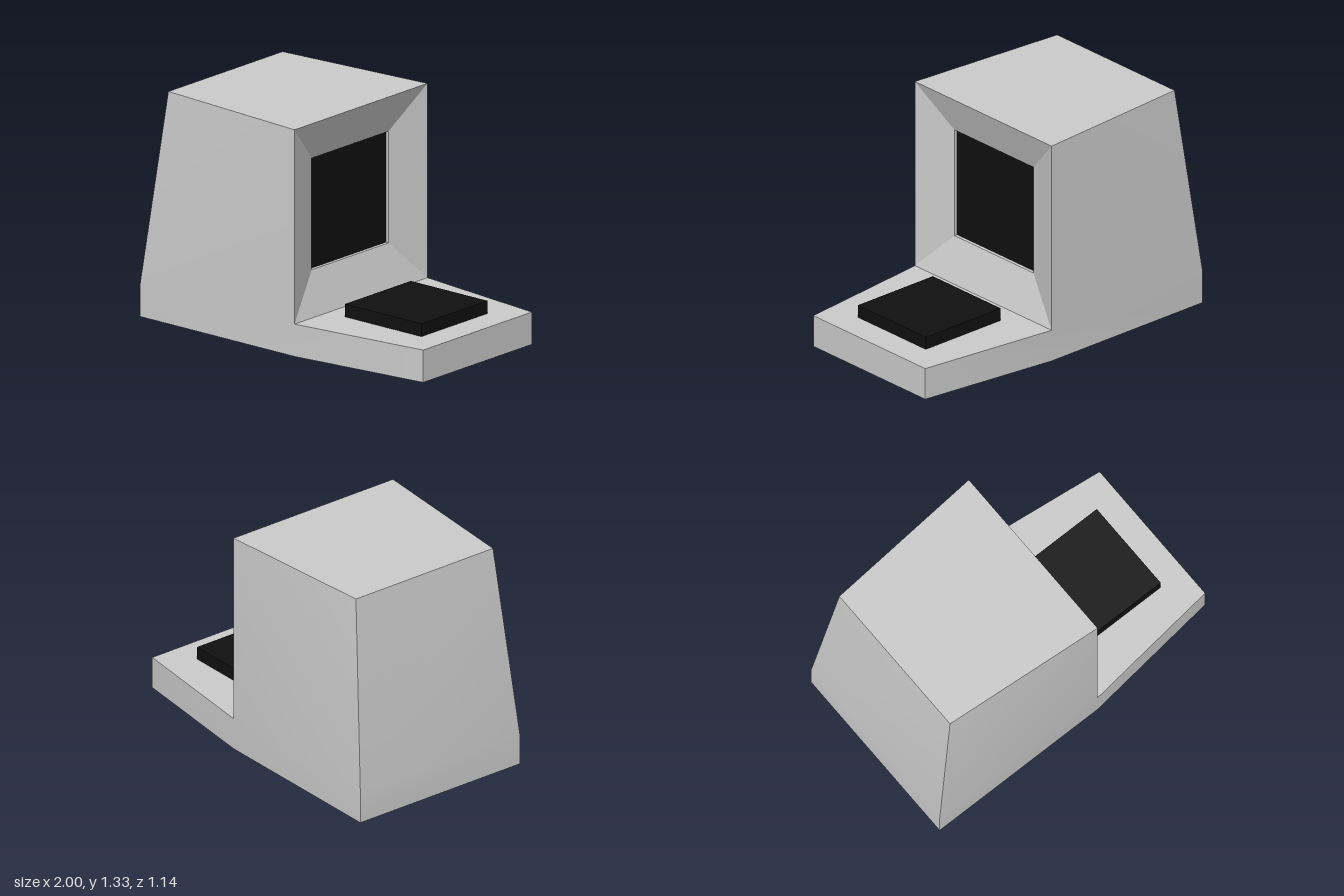
import * as THREE from 'three';
import { toCreasedNormals } from 'three/addons/utils/BufferGeometryUtils.js';

// Geometry from four-cornered faces, corners counter-clockwise from outside
function fromQuads(quads) {
  const pos = [];
  for (const [a, b, c, d] of quads) pos.push(...a, ...b, ...c, ...a, ...c, ...d);
  const g = new THREE.BufferGeometry();
  g.setAttribute('position', new THREE.Float32BufferAttribute(pos, 3));
  return toCreasedNormals(g, THREE.MathUtils.degToRad(20));
}

export function createModel() {
  const model = new THREE.Group();
  model.name = 'desktopTerminal';
  const grey = new THREE.MeshStandardMaterial({ color: 0xcccccc });
  const black = new THREE.MeshStandardMaterial({ color: 0x101010 });

  const add = (name, geometry, material, x = 0, y = 0, z = 0) => {
    const mesh = new THREE.Mesh(geometry, material);
    mesh.name = name;
    mesh.position.set(x, y, z);
    model.add(mesh);
  };

  // Casing outline seen from the front: x, y and half the depth there
  const P = {
    backFoot: [-1, 0, 0.57], midFoot: [0.14, 0, 0.57], tipFoot: [1, 0, 0.467],
    tipDeck: [1, 0.19, 0.467], midDeck: [0.14, 0.19, 0.57],
    frameLow: [0.06, 0.435, 0.33], glassLow: [0.04, 0.435, 0.33],
    glassHigh: [0.04, 1.09, 0.33], frameHigh: [0.06, 1.09, 0.33],
    roofFront: [0.14, 1.33, 0.57], roofBack: [-0.86, 1.33, 0.49],
    backDeck: [-1, 0.19, 0.57],
  };
  const flip = ([x, y, z]) => [x, y, -z];
  const quads = [];

  // Faces spanning the full depth: underside, tip, deck, bezel, roof and back
  const outline = Object.values(P);
  outline.forEach((a, i) => {
    if (a === P.glassLow) return; // opening for the screen
    const b = outline[(i + 1) % outline.length];
    quads.push([a, flip(a), flip(b), b]);
  });

  // Side faces, mirrored front to back
  const sides = [
    [P.backFoot, P.midFoot, P.midDeck, P.backDeck],
    [P.midFoot, P.tipFoot, P.tipDeck, P.midDeck],
    [P.backDeck, P.midDeck, P.roofFront, P.roofBack],
    [P.midDeck, P.frameLow, P.frameHigh, P.roofFront],
    [P.frameLow, P.glassLow, P.glassHigh, P.frameHigh],
  ];
  for (const [a, b, c, d] of sides) {
    quads.push([a, b, c, d], [a, d, c, b].map(flip));
  }
  add('casing', fromQuads(quads), grey);

  // Recessed screen and the raised key block on the deck
  add('screen', new THREE.BoxGeometry(0.02, 0.655, 0.66), black, 0.03, 0.7625, 0);
  add('keyBlock', new THREE.BoxGeometry(0.565, 0.075, 0.566), black, 0.547, 0.2275, 0);

  return model;
}
